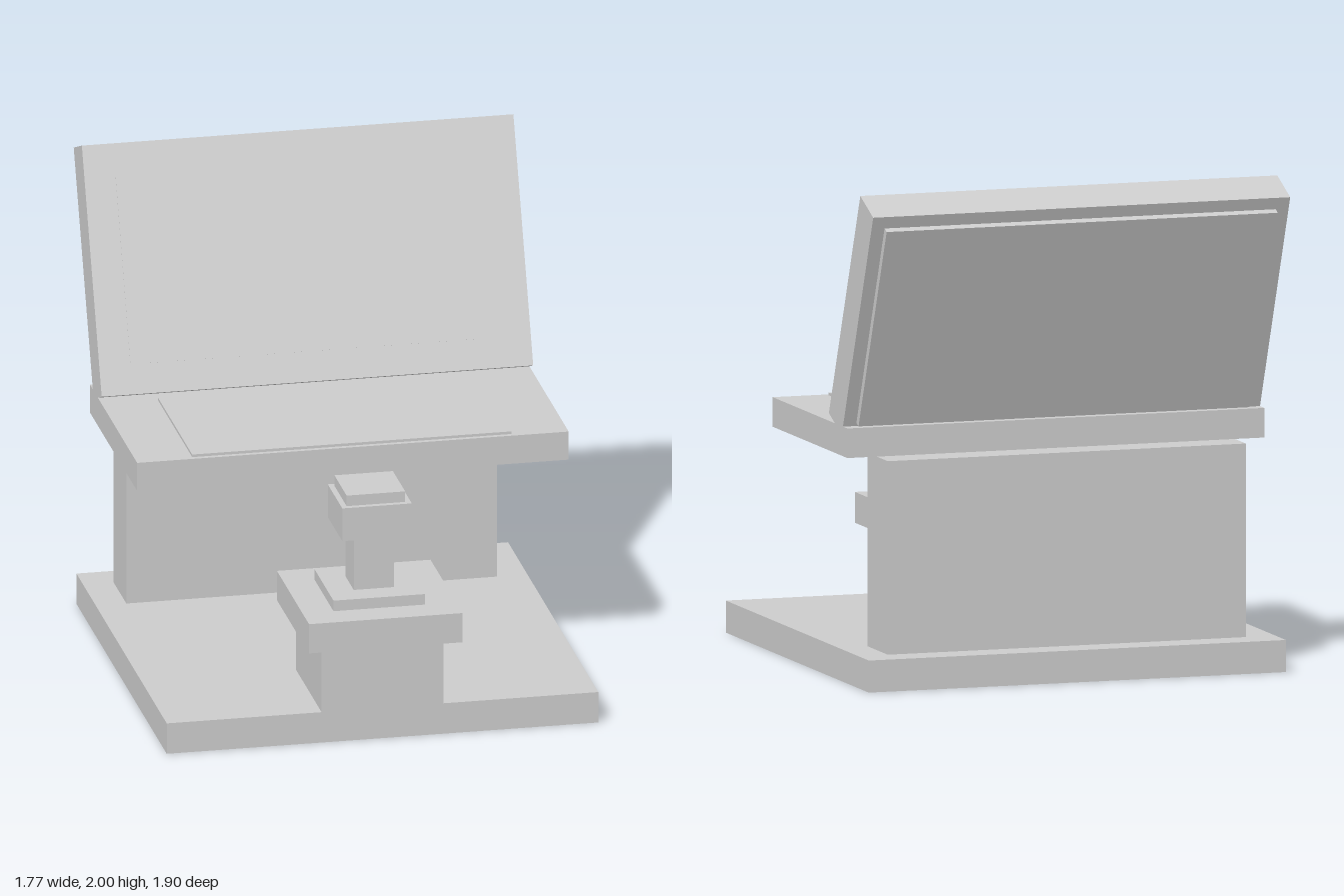
import * as THREE from 'three';

const material = new THREE.MeshStandardMaterial({ color: 0xcccccc, flatShading: true });

// Box centred on x, spanning y0..y1 and z0..z1
function slab(parent, name, width, y0, y1, z0, z1) {
  const mesh = new THREE.Mesh(new THREE.BoxGeometry(width, y1 - y0, z1 - z0), material);
  mesh.name = name;
  mesh.position.set(0, (y0 + y1) / 2, (z0 + z1) / 2);
  parent.add(mesh);
}

export function createModel() {
  const model = new THREE.Group();
  model.name = 'consoleStation';

  // Floor plate, rear support and desk
  slab(model, 'base', 1.77, 0, 0.13, -0.885, 0.885);
  slab(model, 'rearSupport', 1.52, 0.13, 0.915, -0.755, -0.505);
  slab(model, 'desk', 1.77, 0.915, 1.035, -0.62, 0.305);
  slab(model, 'deskPad', 1.31, 1.035, 1.046, -0.39, 0.285);

  // Tilted screen with a thin display in front and a cover behind
  const screen = new THREE.Group();
  screen.name = 'screen';
  screen.position.set(0, 1.5, -0.665);
  screen.rotation.x = -0.3945;
  slab(screen, 'screenBody', 1.77, -0.506, 0.506, -0.0865, 0.0865);
  slab(screen, 'display', 1.515, -0.384, 0.384, 0.08, 0.0885);
  slab(screen, 'backCover', 1.66, -0.453, 0.453, -0.115, -0.0865);
  model.add(screen);

  // Stool: square tiers stacked on one axis, [name, width, bottom, top]
  const stool = new THREE.Group();
  stool.name = 'stool';
  stool.position.z = 0.635;
  const tiers = [
    ['pedestal', 0.5, 0.13, 0.41],
    ['pedestalTop', 0.63, 0.41, 0.535],
    ['postPlate', 0.376, 0.535, 0.58],
    ['post', 0.166, 0.58, 0.815],
    ['head', 0.285, 0.815, 0.955],
    ['headCap', 0.24, 0.955, 1.0],
  ];
  for (const [name, w, y0, y1] of tiers) slab(stool, name, w, y0, y1, -w / 2, w / 2);
  model.add(stool);

  return model;
}
